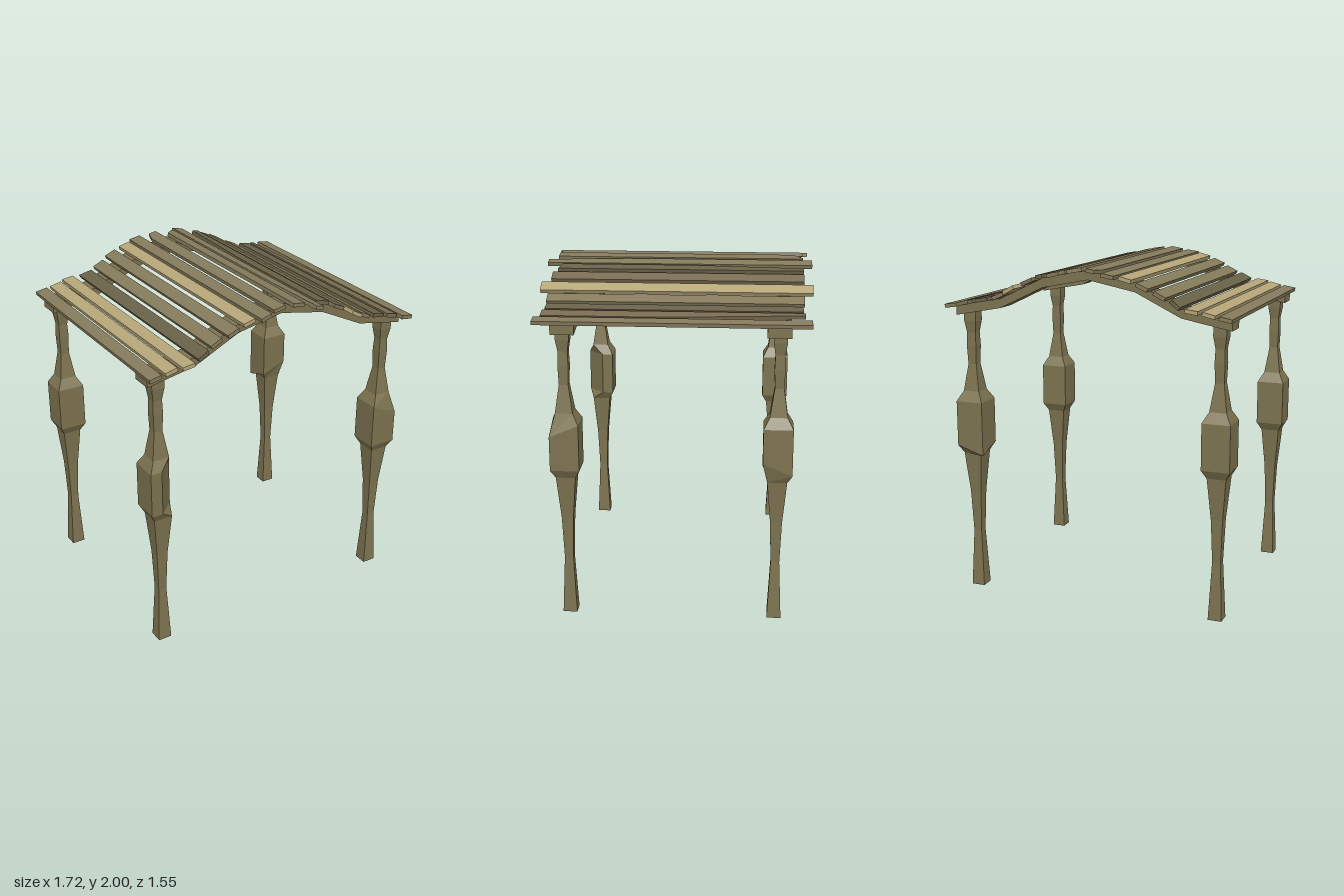
import * as THREE from 'three';

const mat = (color) => new THREE.MeshStandardMaterial({ color, flatShading: true });
const WOOD = mat(0x7d7350), MID = mat(0x857a5b), LIGHT = mat(0xb5a578), DARK = mat(0x6a6249), BROWN = mat(0x7a6c51);

// Upper edge of the arched beam as x, y (right half)
const ARCH = [[0, 1.98], [0.28, 1.925], [0.55, 1.795], [0.84, 1.74]];

function archAt(x) {
  const a = Math.abs(x);
  const i = a < 0.28 ? 0 : a < 0.55 ? 1 : 2;
  const [x0, y0] = ARCH[i], [x1, y1] = ARCH[i + 1];
  const slope = (y1 - y0) / (x1 - x0);
  return { y: y0 + slope * (a - x0), slope: slope * Math.sign(x) };
}

// Carved square post: height, half width
const PROFILE = [
  [0, 0.041], [0.35, 0.025], [0.6, 0.034], [0.85, 0.056], [0.9, 0.083], [1.17, 0.083],
  [1.23, 0.05], [1.39, 0.026], [1.5, 0.03], [1.58, 0.027], [1.65, 0.038], [1.71, 0.038],
];
const BELLY_LOW = 4, BELLY_HIGH = 5;
const SQUARE = [[-1, -1], [-1, 1], [1, 1], [1, -1]];

function postGeometry(corners, tweak) {
  const rings = PROFILE.map(([y, r], i) => corners.map(([sx, sz], j) => {
    const v = new THREE.Vector3(sx * r, y, sz * r);
    if (tweak) tweak(v, i, j);
    return v;
  }));
  const pts = [], n = corners.length;
  const tri = (a, b, c) => {
    if (!a.equals(b) && !b.equals(c) && !a.equals(c)) for (const v of [a, b, c]) pts.push(v.x, v.y, v.z);
  };
  for (let i = 0; i < rings.length - 1; i++) {
    for (let j = 0; j < n; j++) {
      const k = (j + 1) % n, lo = rings[i], hi = rings[i + 1];
      tri(lo[j], lo[k], hi[k]);
      tri(lo[j], hi[k], hi[j]);
    }
  }
  const top = rings[rings.length - 1], base = rings[0];
  for (let j = 1; j < n - 1; j++) {
    tri(top[0], top[j], top[j + 1]);
    tri(base[0], base[j + 1], base[j]);
  }
  const g = new THREE.BufferGeometry();
  g.setAttribute('position', new THREE.Float32BufferAttribute(pts, 3));
  g.computeVertexNormals();
  return g;
}

// Each post has its own hewn irregularity on the thick middle block
const POSTS = [
  { name: 'frontRightPost', x: -1, z: 1, corners: [[-1, -1], [-1, 1], [1, 1], [1, 1], [1, -1]],
    tweak(v, i, j) { // one corner chopped off
      if (i !== BELLY_LOW && i !== BELLY_HIGH) return;
      if (j === 2) v.x = -0.015;
      if (j === 3) v.z = -0.015;
    } },
  { name: 'frontLeftPost', x: 1, z: 1, corners: SQUARE,
    tweak(v, i, j) { if (i === BELLY_HIGH && j === 2) v.y = 1.1; } },
  { name: 'backLeftPost', x: 1, z: -1, corners: SQUARE,
    tweak(v, i, j) {
      if (i === BELLY_LOW && j === 0) v.y = 0.845;
      if (i === BELLY_LOW && j === 2) v.y = 0.97;
    } },
  { name: 'backRightPost', x: -1, z: -1, corners: SQUARE },
];

// Roof slats: centre x, back z, front z, material, optional outline as offsets [u, z] from the centre
const H = 0.037;
const SLATS = [
  [-0.82, -0.73, 0.72, MID],
  [-0.725, -0.73, 0.72, LIGHT],
  [-0.635, -0.75, 0.745, LIGHT],
  [-0.525, -0.73, 0.72, DARK, [[-H, -0.73], [H, -0.69], [H, 0.71], [0.02, 0.72], [-H, 0.72]]],
  [-0.435, -0.71, 0.7, MID],
  [-0.342, -0.73, 0.72, MID],
  [-0.245, -0.73, 0.72, LIGHT],
  [-0.155, -0.76, 0.75, MID, [[-H, -0.76], [H, -0.76], [H, 0.74], [-H, 0.755]]],
  [-0.055, -0.73, 0.72, MID, [[-H, -0.65], [-0.012, -0.73], [H, -0.73], [H, 0.72], [-H, 0.72]]],
  [0.068, -0.73, 0.72, MID, [[-H, -0.67], [0.025, -0.73], [H, -0.73], [H, 0.72], [-H, 0.72]]],
  [0.158, -0.78, 0.77, MID, [[-H, -0.78], [H, -0.78], [H, 0.77], [-0.012, 0.77], [-H, 0.3]]],
  [0.25, -0.73, 0.7, DARK, [[-0.005, -0.73], [H, -0.73], [H, 0.695], [-H, 0.675], [-H, -0.1]]],
  [0.34, -0.73, 0.72, BROWN],
  [0.43, -0.78, 0.77, LIGHT],
  [0.525, -0.73, 0.72, MID],
  [0.637, -0.72, 0.71, DARK],
  [0.727, -0.73, 0.72, BROWN, [[-H, -0.73], [-0.006, -0.73], [H, 0.05], [H, 0.72], [-H, 0.72]]],
  [0.815, -0.765, 0.755, MID],
];

function slatGeometry(outline) {
  const shape = new THREE.Shape(outline.map(([u, z]) => new THREE.Vector2(u, -z)));
  return new THREE.ExtrudeGeometry(shape, { depth: 0.022, bevelEnabled: false }).rotateX(-Math.PI / 2);
}

export function createModel() {
  const model = new THREE.Group();
  model.name = 'pergola';
  const add = (name, geometry, material) => {
    const mesh = new THREE.Mesh(geometry, material);
    mesh.name = name;
    model.add(mesh);
    return mesh;
  };

  // Posts
  for (const p of POSTS) {
    add(p.name, postGeometry(p.corners, p.tweak), WOOD).position.set(p.x * 0.765, 0, p.z * 0.597);
  }

  // Arched beams at front and back
  const left = ARCH.slice(1).reverse().map(([x, y]) => [-x, y]);
  const upper = [...left, ...ARCH];
  const lower = upper.map(([x, y]) => [x, y - 0.054]).reverse();
  const beamShape = new THREE.Shape([...lower, ...upper].map(([x, y]) => new THREE.Vector2(x, y)));
  const beamGeometry = new THREE.ExtrudeGeometry(beamShape, { depth: 0.132, bevelEnabled: false });
  beamGeometry.translate(0, 0, -0.066);
  add('frontBeam', beamGeometry, WOOD).position.z = 0.59;
  add('backBeam', beamGeometry, WOOD).position.z = -0.59;

  // Roof slats follow the arch
  SLATS.forEach(([x, back, front, material, outline], i) => {
    const { y, slope } = archAt(x);
    const rect = [[-H, back], [H, back], [H, front], [-H, front]];
    const slat = add(`roofSlat${i + 1}`, slatGeometry(outline ?? rect), material);
    slat.position.set(x, y + 0.002, 0);
    slat.rotation.z = Math.atan(slope) + 0.05 * Math.sin(i * 2.3);
  });

  return model;
}
